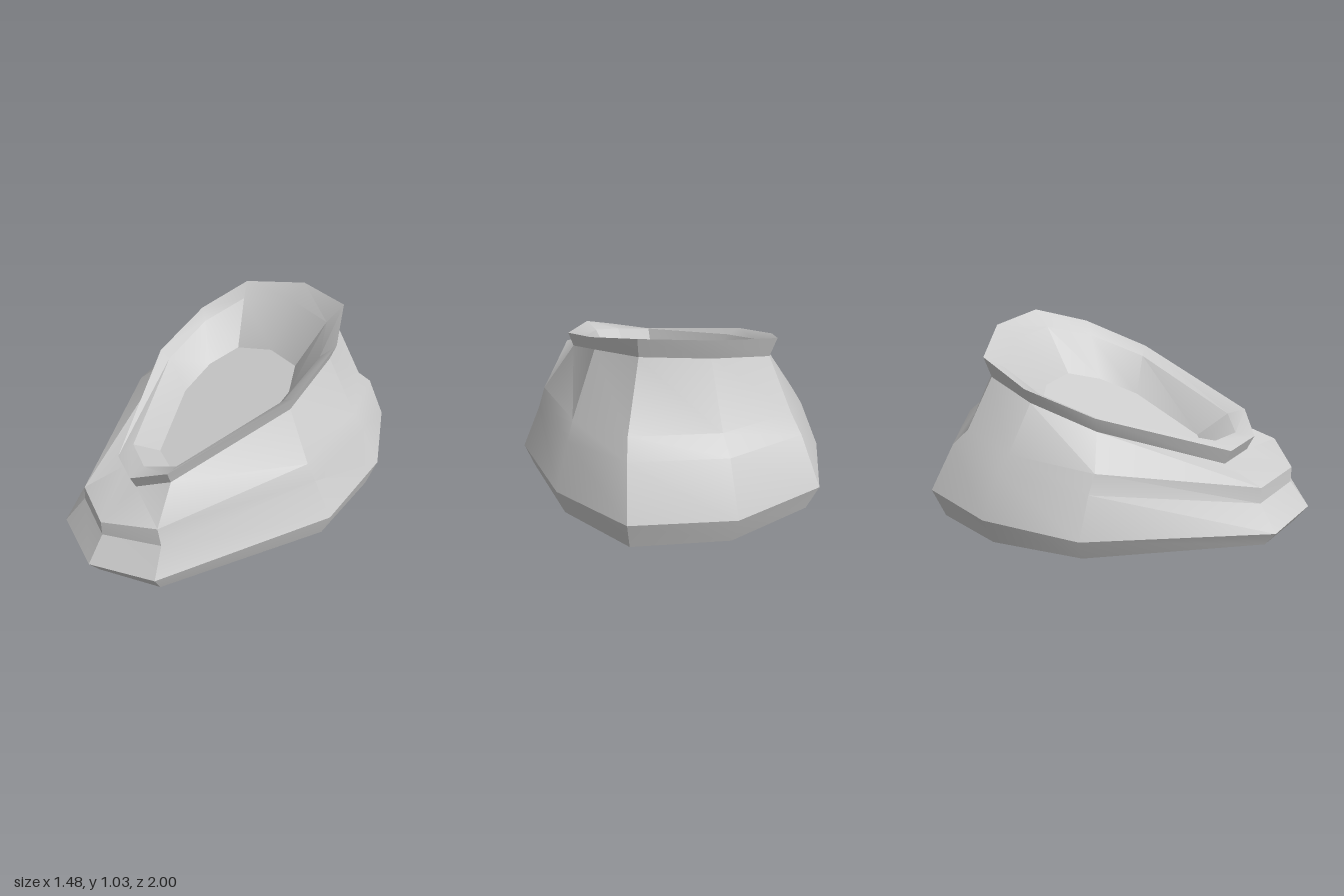
import * as THREE from 'three';
import { toCreasedNormals } from 'three/addons/utils/BufferGeometryUtils.js';

// Every ring has ten points [x, y, z]: back, round the left side, front, round the right side.
const widest = [[-0.04, 0.25, -1], [0.45, 0.26, -0.88], [0.68, 0.24, -0.5], [0.735, 0.21, 0], [0.36, 0.16, 0.87],
  [0.03, 0.14, 1], [-0.31, 0.13, 0.87], [-0.74, 0.175, 0], [-0.72, 0.21, -0.5], [-0.52, 0.235, -0.88]];
const ledgeLow = [[-0.04, 0.51, -0.88], [0.41, 0.52, -0.77], [0.6, 0.47, -0.44], [0.64, 0.41, 0.02], [0.32, 0.3, 0.78],
  [0.03, 0.27, 0.9], [-0.25, 0.255, 0.78], [-0.65, 0.38, 0.02], [-0.64, 0.44, -0.44], [-0.46, 0.48, -0.77]];
const ledgeHigh = [[-0.04, 0.59, -0.79], [0.38, 0.6, -0.69], [0.56, 0.56, -0.4], [0.6, 0.51, 0.04], [0.3, 0.395, 0.78],
  [0.03, 0.35, 0.9], [-0.24, 0.335, 0.78], [-0.61, 0.475, 0.04], [-0.6, 0.52, -0.4], [-0.44, 0.56, -0.69]];
const rimTop = [[-0.03, 1.01, -0.69], [0.3, 1.03, -0.6], [0.445, 0.95, -0.35], [0.467, 0.82, 0], [0.21, 0.58, 0.62],
  [0.03, 0.5, 0.7], [-0.16, 0.48, 0.61], [-0.475, 0.7, 0], [-0.49, 0.82, -0.35], [-0.38, 0.93, -0.61]];
const floorOutline = [[-0.03, -0.42], [0.18, -0.37], [0.27, -0.21], [0.285, 0], [0.14, 0.38],
  [0.03, 0.43], [-0.11, 0.37], [-0.29, 0], [-0.3, -0.21], [-0.23, -0.37]];

// Scaled copy of a ring, with a new height from a rule
const remap = (ring, s, height) => ring.map(([x, y, z]) => [x * s, height(x * s, z * s, y), z * s]);
// The opening is tilted up to the back and to the left
const tilted = (base) => (x, z) => base - 0.36 * z + 0.13 * x;
const point = (x, y, z) => Array.from({ length: 10 }, () => [x, y, z]);

// Skin a stack of rings; a ring may collapse to a point to close the end
function loft(rings, crease) {
  const pos = [];
  const same = (p, q) => p.every((v, k) => v === q[k]);
  const tri = (a, b, c) => {
    if (!same(a, b) && !same(b, c) && !same(a, c)) pos.push(...a, ...b, ...c);
  };
  for (let r = 0; r < rings.length - 1; r++) {
    for (let i = 0; i < 10; i++) {
      const j = (i + 1) % 10;
      const a = rings[r][i], b = rings[r][j], c = rings[r + 1][j], d = rings[r + 1][i];
      tri(a, d, c);
      tri(a, c, b);
    }
  }
  const geo = new THREE.BufferGeometry();
  geo.setAttribute('position', new THREE.Float32BufferAttribute(pos, 3));
  return toCreasedNormals(geo, crease);
}

export function createModel() {
  const group = new THREE.Group();
  const grey = new THREE.MeshStandardMaterial({ color: 0xcccccc });
  grey.name = 'plain grey';
  const add = (name, rings) => {
    const mesh = new THREE.Mesh(loft(rings, 0.5), grey);
    mesh.name = name;
    group.add(mesh);
  };

  const soleEdge = remap(widest, 0.94, (x, z) => 0.073 - 0.018 * z + 0.01 * x);
  const soleMiddle = remap(widest, 0.73, (x, z) => 0.02 - 0.008 * z);
  const soleFlat = remap(widest, 0.42, () => 0.003);
  const neck = remap(rimTop, 0.95, (x, z, y) => y - 0.075);
  neck.slice(0, 2).concat([neck[9]]).forEach((p) => { p[1] -= 0.03; });
  const rimInner = remap(rimTop, 0.86, tilted(0.725));
  const floor = floorOutline.map(([x, z]) => [x, tilted(0.55)(x, z), z]);

  // Shallow rounded underside
  add('underside', [point(0, 0, 0), soleFlat, soleMiddle, soleEdge]);
  // Body with its stepped toe
  add('body', [soleEdge, widest, ledgeLow, ledgeHigh, neck]);
  // Tilted collar and the hollow inside it
  add('collar', [neck, rimTop, rimInner, floor]);
  add('hollowFloor', [floor, point(0, 0.55, 0)]);
  return group;
}
